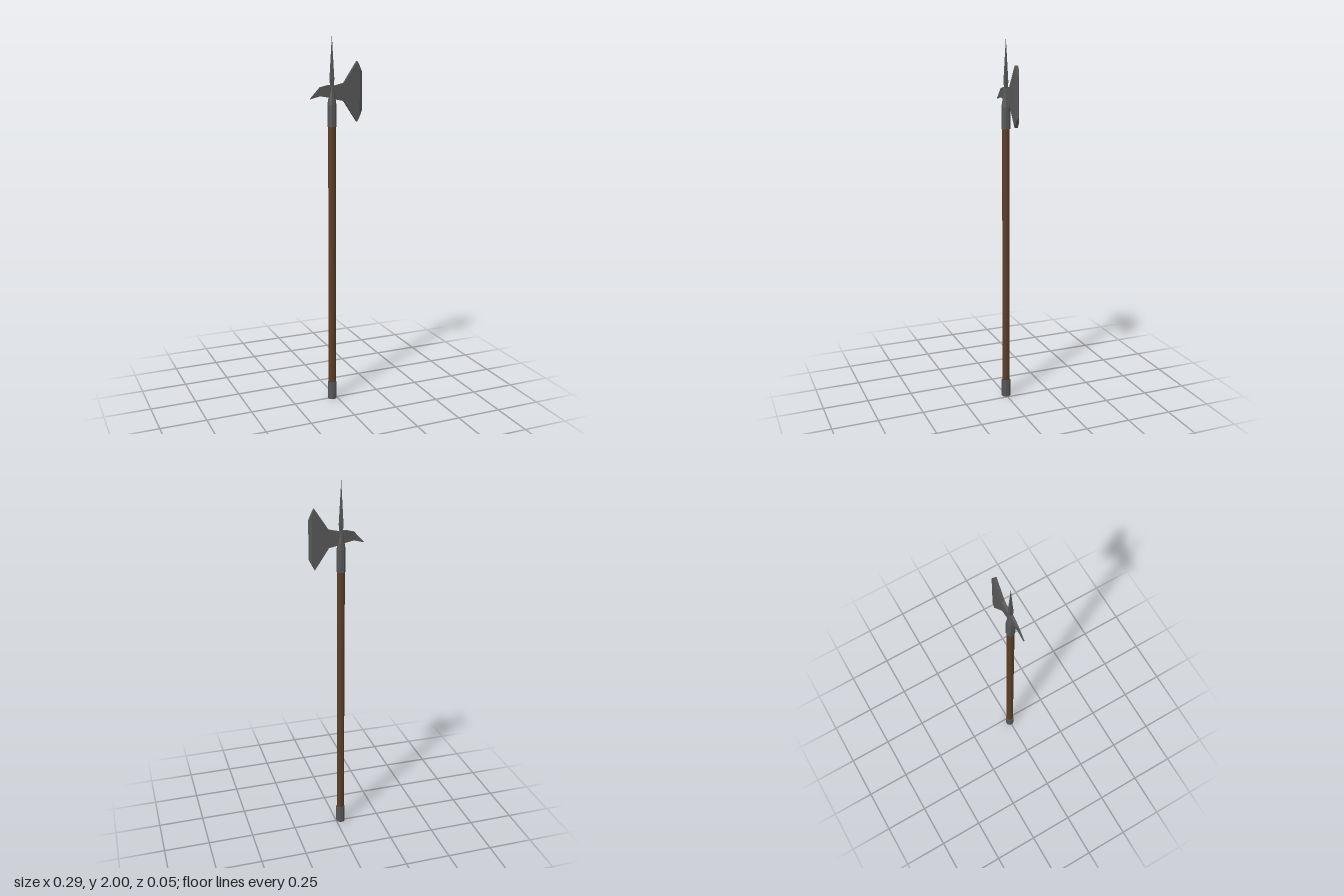
import * as THREE from 'three';

const AXIS_X = -0.026;

export function createModel() {
  const group = new THREE.Group();
  const iron = new THREE.MeshStandardMaterial({ color: 0x575757 });
  iron.name = 'dark iron';
  const wood = new THREE.MeshStandardMaterial({ color: 0x5c3f27 });
  wood.name = 'brown wood';

  // Adds a mesh with faceted normals
  function add(name, geometry, material, x = 0, y = 0) {
    const flat = geometry.index ? geometry.toNonIndexed() : geometry;
    flat.computeVertexNormals();
    const mesh = new THREE.Mesh(flat, material);
    mesh.name = name;
    mesh.position.set(x, y, 0);
    group.add(mesh);
  }

  // Lofts rectangular sections [x, top, bottom, halfThickness] along +x
  function loft(sections) {
    const pos = [], idx = [];
    for (const [x, top, bottom, t] of sections) {
      pos.push(x, bottom, t, x, top, t, x, top, -t, x, bottom, -t);
    }
    for (let s = 0; s < sections.length - 1; s++) {
      for (let k = 0; k < 4; k++) {
        const a = s * 4 + k, b = s * 4 + (k + 1) % 4;
        idx.push(a, a + 4, b, b, a + 4, b + 4);
      }
    }
    const e = (sections.length - 1) * 4;
    idx.push(0, 1, 2, 0, 2, 3, e, e + 2, e + 1, e, e + 3, e + 2);
    const g = new THREE.BufferGeometry();
    g.setAttribute('position', new THREE.Float32BufferAttribute(pos, 3));
    g.setIndex(idx);
    return g;
  }

  // Wooden pole and its iron foot
  add('shaft', new THREE.CylinderGeometry(0.02, 0.02, 1.6, 8).rotateY(Math.PI / 8), wood, AXIS_X, 0.801);
  add('buttCap', new THREE.CylinderGeometry(0.025, 0.025, 0.098, 8, 1, true).rotateY(Math.PI / 8), iron, AXIS_X, 0.049);
  add('buttCapTop', new THREE.RingGeometry(0.018, 0.025, 8).rotateX(-Math.PI / 2).rotateY(Math.PI / 8), iron, AXIS_X, 0.098);

  // Socket narrowing towards the head
  const socket = [[0.019, 1.53], [0.0235, 1.53], [0.0235, 1.645], [0.013, 1.715], [0.008, 1.75], [0, 1.75]];
  add('socket', new THREE.LatheGeometry(socket.map(p => new THREE.Vector2(...p)), 8).rotateY(Math.PI / 8), iron, AXIS_X);

  // Four-sided top spike
  const spike = [[0, 1.72], [0.009, 1.73], [0.014, 1.775], [0, 2]];
  add('spike', new THREE.LatheGeometry(spike.map(p => new THREE.Vector2(...p)), 4).rotateY(Math.PI / 4), iron, AXIS_X);

  // Axe blade with a bevelled cutting edge
  add('axeBlade', loft([
    [-0.026, 1.74, 1.675, 0.007],
    [0.04, 1.755, 1.662, 0.008],
    [0.115, 1.867, 1.552, 0.009],
    [0.129, 1.84, 1.579, 0.009],
    [0.145, 1.81, 1.608, 0.0005],
  ]), iron);

  // Downward hooked back beak
  add('backBeak', loft([
    [-0.147, 1.679, 1.676, 0.003],
    [-0.094, 1.736, 1.69, 0.003],
    [-0.05, 1.746, 1.683, 0.007],
    [-0.026, 1.746, 1.675, 0.008],
  ]), iron);

  return group;
}
